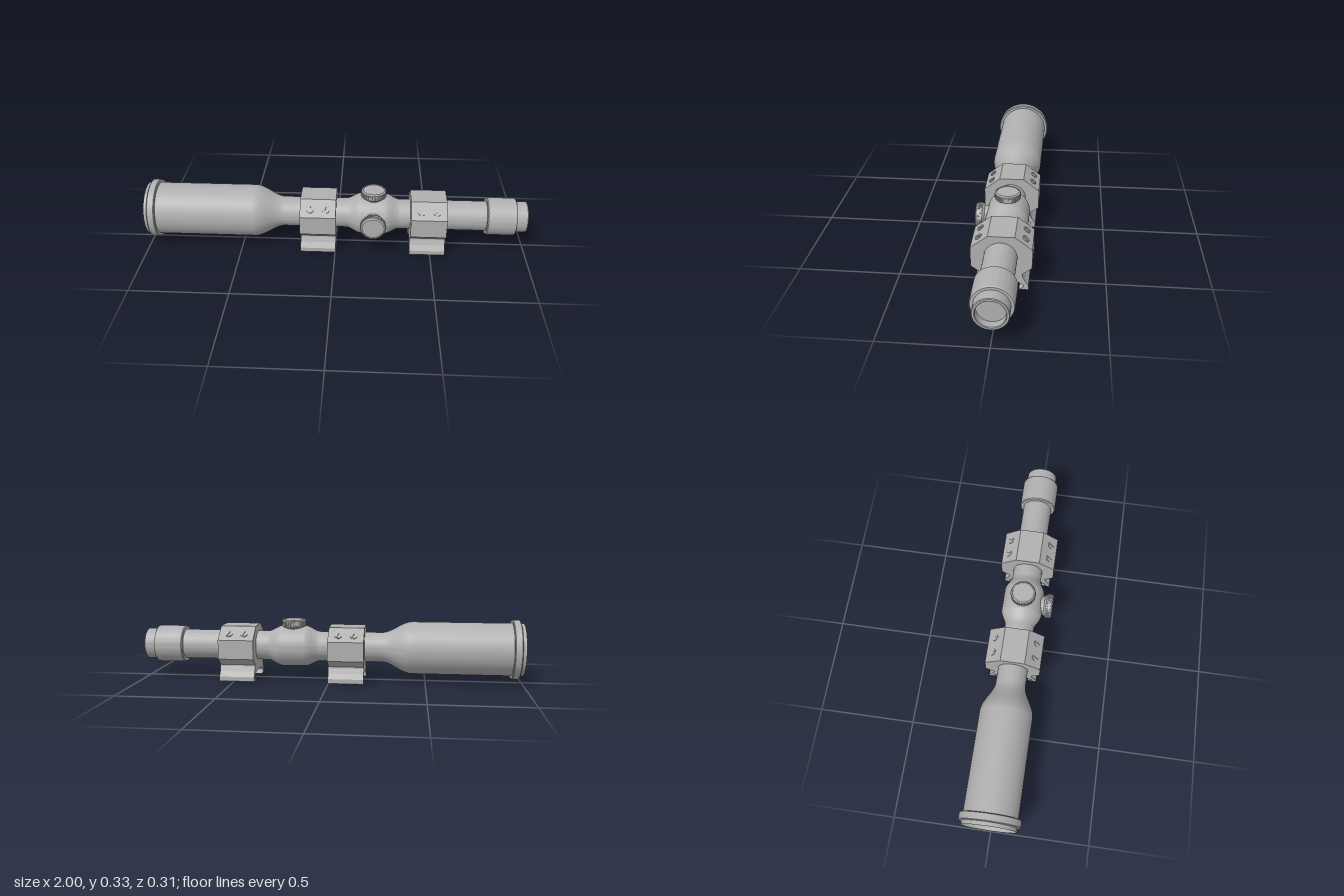
import * as THREE from 'three';
import { toCreasedNormals } from 'three/addons/utils/BufferGeometryUtils.js';

const AXIS_Y = 0.176, AXIS_Z = -0.003;
const metal = new THREE.MeshStandardMaterial({ color: 0xb0b0b0 });
metal.name = 'grey metal';

function mesh(name, geometry) {
  const m = new THREE.Mesh(geometry, metal);
  m.name = name;
  return m;
}

// Profile of [radius, height] pairs, listed bottom to top, turned about y
function turned(points, segments = 64) {
  const lathe = new THREE.LatheGeometry(points.map(([r, h]) => new THREE.Vector2(r, h)), segments);
  return toCreasedNormals(lathe, 0.5);
}

// Eased steps from one [radius, height] to another
function ease([r0, h0], [r1, h1], steps = 10) {
  return Array.from({ length: steps + 1 }, (_, i) => {
    const t = i / steps;
    return [r0 + (r1 - r0) * t * t * (3 - 2 * t), h0 + (h1 - h0) * t];
  });
}

// Whole optical tube, from the front lens to the rear lens
function makeTube() {
  const profile = [
    [0, -0.93], [0.068, -0.93], [0.131, -0.998], [0.137, -1],           // front lens and flared bore
    [0.137, -0.98], [0.150, -0.98], [0.154, -0.976], [0.154, -0.944], [0.150, -0.94], [0.137, -0.94],
    ...ease([0.137, -0.43], [0.078, -0.27], 14),                         // bell taper
    ...ease([0.078, 0.055], [0.108, 0.135]),                             // turret saddle
    ...ease([0.108, 0.255], [0.078, 0.335]),
    [0.078, 0.788], [0.094, 0.788], [0.098, 0.793], [0.098, 0.934], [0.094, 0.94], // eyepiece
    [0.081, 0.94], [0.081, 0.996], [0.078, 1], [0.069, 1], [0.066, 0.997], [0.066, 0.96], [0, 0.96],
  ];
  const geometry = turned(profile, 80);
  geometry.rotateZ(-Math.PI / 2);
  const tube = mesh('scopeTube', geometry);
  tube.position.set(0, AXIS_Y, AXIS_Z);
  return tube;
}

// Adjustment knob standing on y, with its top at the given height
function makeTurret(name, top) {
  const turret = new THREE.Group();
  turret.name = name;
  turret.add(mesh('knobBody', turned([
    [0.052, 0.08], [0.052, top - 0.046], [0.062, top - 0.037], [0.065, top - 0.035], [0.065, top - 0.031],
    [0.062, top - 0.031], [0.062, top - 0.012], [0.064, top - 0.012], [0.064, top - 0.006],
    [0.057, top], [0.053, top], [0.053, top - 0.003], [0, top - 0.003],
  ], 48)));
  const ribs = new THREE.Group();
  ribs.name = 'gripRibs';
  const count = 36, ribGeometry = new THREE.BoxGeometry(0.0065, 0.019, 0.008);
  for (let i = 0; i < count; i++) {
    const a = (i / count) * Math.PI * 2;
    const rib = mesh('gripRib', ribGeometry);
    rib.position.set(Math.sin(a) * 0.062, top - 0.0215, Math.cos(a) * 0.062);
    rib.rotation.y = a;
    ribs.add(rib);
  }
  turret.add(ribs);
  turret.position.set(0.197, AXIS_Y, AXIS_Z);
  return turret;
}

// Slotted screw head facing +z, made of two half discs
function makeScrew() {
  const screw = new THREE.Group();
  screw.name = 'screw';
  const half = new THREE.Shape();
  half.absarc(0, 0, 0.018, 0.17, Math.PI - 0.17, false);
  half.closePath();
  const geometry = new THREE.ExtrudeGeometry(half, { depth: 0.007, bevelEnabled: false, curveSegments: 14 });
  for (const turn of [0, Math.PI]) {
    const part = mesh('screwHalf', geometry);
    part.rotation.z = turn + 1.2;
    part.position.z = -0.003;
    screw.add(part);
  }
  return screw;
}

// Mounting ring with rail clamp, centred on x
function makeMount(name, x, width) {
  const mount = new THREE.Group();
  mount.name = name;
  const side = [
    [0.063, 0.286], [0.144, 0.222], [0.144, 0.122], [0.103, 0.091], [0.098, 0.085], [0.099, 0.077],
    [0.110, 0.051], [0.128, 0.025], [0.128, 0.002], [0.126, 0], [0.082, 0], [0.102, 0.014],
    [0.105, 0.019], [0.102, 0.026], [0.085, 0.038], [0.060, 0.045],
  ];
  const outline = [...side, ...side.map(([z, y]) => [-z, y]).reverse()];
  const shape = new THREE.Shape(outline.map(([z, y]) => new THREE.Vector2(z, y)));
  const geometry = new THREE.ExtrudeGeometry(shape, { depth: width, bevelEnabled: false });
  geometry.translate(0, 0, -width / 2);
  geometry.rotateY(Math.PI / 2);
  mount.add(mesh('ringClamp', geometry));

  // Two screws on each sloping shoulder
  const slope = Math.atan2(0.081, 0.064);
  for (const s of [1, -1]) {
    for (const dx of [-0.04, 0.04]) {
      const screw = makeScrew();
      screw.position.set(dx, 0.249, s * 0.11);
      screw.rotation.x = s > 0 ? -slope : slope - Math.PI;
      mount.add(screw);
    }
  }
  mount.position.set(x, 0, AXIS_Z - 0.003);
  return mount;
}

export function createModel() {
  const model = new THREE.Group();
  model.name = 'rifleScope';
  model.add(makeTube());
  model.add(makeTurret('topTurret', 0.144));
  const sideTurret = makeTurret('sideTurret', 0.161);
  sideTurret.rotation.x = Math.PI / 2;
  model.add(sideTurret);
  model.add(makeMount('frontMount', -0.09, 0.186));
  model.add(makeMount('rearMount', 0.484, 0.186));
  return model;
}
